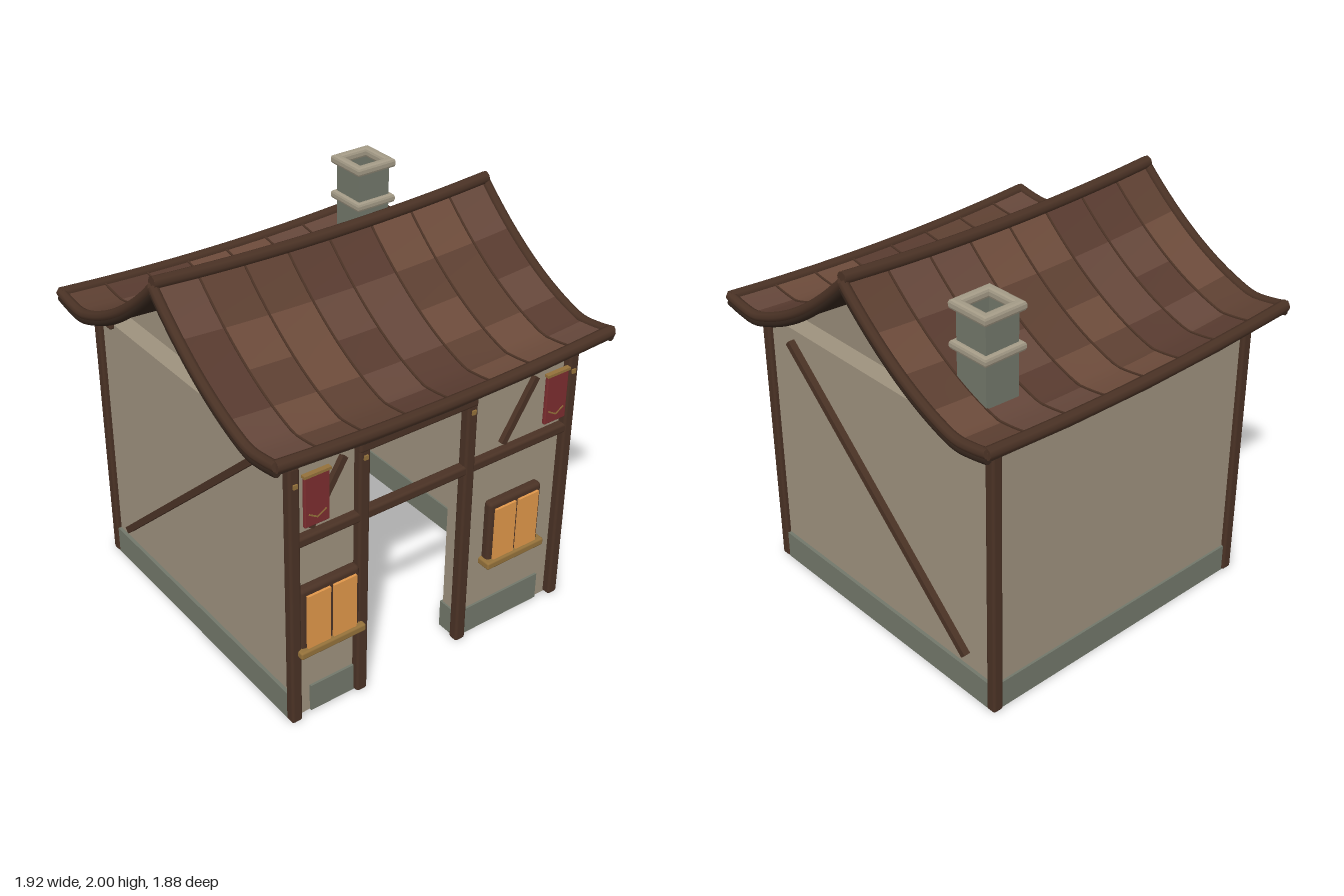
import * as THREE from 'three';
import { RoundedBoxGeometry } from 'three/addons/geometries/RoundedBoxGeometry.js';

const mat = (color, side = THREE.FrontSide) => new THREE.MeshStandardMaterial({ color, side });
const WALL = mat(0x9d917d), STONE = mat(0x72776a), TRIM = mat(0xa39a86);
const WOOD = mat(0x4a3225), DARK = mat(0x33241b), GOLD = mat(0x94713a);
const GLOW = mat(0xe0974a), RED = mat(0x7c2d2f);
const TILES = [0x5c3f31, 0x64463a, 0x6b4a3a, 0x573a2f].map((c) => mat(c));

// Roof height: concave slope with a kicked-up eave, sagging between the gables
const slope = (z) => {
  const a = Math.abs(z);
  return 1.95 - 0.98 * a + 0.5 * a * a + 0.3 * Math.max(0, a - 0.72);
};
const roofY = (x, z) => slope(z) - 0.035 * (1 - (x / 0.94) ** 2);

export function createModel() {
  const house = new THREE.Group();
  house.name = 'house';

  const add = (name, geometry, material, parent = house) => {
    const mesh = new THREE.Mesh(geometry, material);
    mesh.name = name;
    parent.add(mesh);
    return mesh;
  };
  // Box given by its limits on each axis, optionally with rounded edges
  const box = (name, [x0, x1], [y0, y1], [z0, z1], material, radius = 0) => {
    const size = [x1 - x0, y1 - y0, z1 - z0];
    const geo = radius ? new RoundedBoxGeometry(...size, 2, radius) : new THREE.BoxGeometry(...size);
    const mesh = add(name, geo, material);
    mesh.position.set((x0 + x1) / 2, (y0 + y1) / 2, (z0 + z1) / 2);
    return mesh;
  };
  const tube = (name, points, radius, material) => {
    const curve = new THREE.CatmullRomCurve3(points);
    const mesh = add(name, new THREE.TubeGeometry(curve, 32, radius, 8), material);
    for (const t of [0, 1]) {
      const cap = add(name + 'End', new THREE.CircleGeometry(radius, 8), material);
      const dir = curve.getTangent(t).multiplyScalar(t ? 1 : -1);
      cap.position.copy(curve.getPoint(t));
      cap.quaternion.setFromUnitVectors(new THREE.Vector3(0, 0, 1), dir);
    }
    return mesh;
  };
  // Straight timber between two points
  const strut = (name, a, b, width, material) => {
    const from = new THREE.Vector3(...a), to = new THREE.Vector3(...b);
    const dir = to.clone().sub(from);
    const mesh = add(name, new THREE.BoxGeometry(width, dir.length(), width), material);
    mesh.position.copy(from).add(to).multiplyScalar(0.5);
    mesh.quaternion.setFromUnitVectors(new THREE.Vector3(0, 1, 0), dir.normalize());
    return mesh;
  };

  // Walls, with an open doorway in the front
  const H = [0, 1.42], base = [0, 0.15];
  for (const s of [-1, 1]) {
    const span = (a, b) => [Math.min(s * a, s * b), Math.max(s * a, s * b)];
    box('sideWall', span(0.7, 0.8), H, [-0.8, 0.8], WALL);
    box('sidePlinth', span(0.69, 0.818), base, [-0.79, 0.79], STONE);
  }
  box('backWall', [-0.7, 0.7], [0, 1.43], [-0.8, -0.7], WALL);
  box('backPlinth', [-0.8, 0.8], base, [-0.812, -0.69], STONE);
  for (const [x0, x1, p0, p1] of [[-0.7, -0.42, -0.7, -0.385], [0.18, 0.7, 0.17, 0.7]]) {
    box('frontWall', [x0, x1], H, [0.7, 0.8], WALL);
    box('frontPlinth', [p0, p1], base, [0.69, 0.812], STONE);
  }

  // Timber frame
  const front = [0.787, 0.842], back = [-0.825, -0.77];
  for (const x of [-0.796, 0.796]) {
    box('cornerPost', [x - 0.029, x + 0.029], [0, 1.425], front, WOOD, 0.014);
    box('cornerPost', [x - 0.029, x + 0.029], [0, 1.425], back, WOOD, 0.014);
    box('cornerStub', [x - 0.027, x + 0.027], [1.395, 1.433], [-0.82, -0.66], WOOD, 0.012);
    const o = Math.sign(x) * 0.825;
    strut('sideBrace', [o, 1.365, 0.61], [o, 0.23, -0.63], 0.034, WOOD);
  }
  for (const x of [-0.425, 0.18])
    box('doorPost', [x - 0.03, x + 0.03], [0, 1.41], front, WOOD, 0.014);
  box('lintel', [-0.455, 0.21], [1.355, 1.42], [0.785, 0.845], WOOD, 0.014);
  box('middleBeam', [-0.82, 0.82], [0.99, 1.042], [0.785, 0.84], WOOD, 0.014);
  strut('frontBrace', [-0.7, 1.065, 0.81], [-0.52, 1.36, 0.81], 0.032, WOOD);
  strut('frontBrace', [0.395, 1.065, 0.81], [0.58, 1.36, 0.81], 0.032, WOOD);
  for (const x of [-0.796, -0.425, 0.18, 0.79])
    box('peg', [x - 0.011, x + 0.011], [1.32, 1.342], [0.835, 0.85], GOLD);

  // Windows
  for (const x of [-0.61, 0.485]) {
    box('windowFrame', [x - 0.163, x + 0.163], [0.4, 0.758], [0.79, 0.845], WOOD, 0.02);
    for (const s of [-1, 1])
      box('windowPane', [x + s * 0.072 - 0.063, x + s * 0.072 + 0.063], [0.43, 0.725], [0.82, 0.858], GLOW);
    box('windowSill', [x - 0.18, x + 0.18], [0.39, 0.43], [0.79, 0.872], GOLD, 0.01);
  }

  // Banners with a rod and a chevron
  for (const x of [-0.688, 0.684]) {
    box('banner', [x - 0.066, x + 0.066], [1.1, 1.362], [0.835, 0.855], RED, 0.006);
    box('bannerRod', [x - 0.07, x + 0.07], [1.358, 1.372], [0.835, 0.86], GOLD);
    for (const s of [-1, 1])
      strut('bannerChevron', [x + s * 0.046, 1.168, 0.854], [x, 1.14, 0.854], 0.007, GOLD);
  }

  // Roof pieces are flat slabs bent to the roof surface
  const bent = (name, [x0, x1], [z0, z1], thick, lift, material, nz = 8) => {
    const geo = new THREE.BoxGeometry(x1 - x0, thick, z1 - z0, 4, 1, nz);
    geo.translate((x0 + x1) / 2, lift, (z0 + z1) / 2);
    const p = geo.attributes.position;
    for (let i = 0; i < p.count; i++) p.setY(i, p.getY(i) + roofY(p.getX(i), p.getZ(i)));
    geo.computeVertexNormals();
    return add(name, geo, material);
  };
  const seams = [-0.94, -0.71, -0.475, -0.24, -0.01, 0.23, 0.465, 0.7, 0.94];
  for (const s of [-1, 1]) {
    const zs = (a, b) => (s > 0 ? [a, b] : [-b, -a]);
    bent('roofUnderside', [-0.94, 0.94], zs(0, 0.92), 0.025, -0.03, DARK, 24);
    for (let c = 0; c < 8; c++) {
      const shift = c % 2 ? 0 : 0.18;
      const rows = [0, 0.2, 0.38, 0.56, 0.74, 0.92].filter((z, i) => !(shift && (i === 2 || i === 4)));
      for (let r = 0; r + 1 < rows.length; r++)
        bent('roofTile', [seams[c], seams[c + 1]], zs(rows[r], rows[r + 1]), 0.024, -0.006,
          TILES[(c * 3 + r * 2 + (s > 0 ? 1 : 0) + (c >> 1)) % 4]);
      if (c) bent('roofSeam', [seams[c] - 0.005, seams[c] + 0.005], zs(0, 0.92), 0.02, 0.002, WOOD, 24);
    }
    // Gable edge timbers and eave beam
    for (const x of [-0.935, 0.935]) {
      const path = (lift) => Array.from({ length: 17 }, (_, i) => {
        const z = (s * 0.92 * i) / 16;
        return new THREE.Vector3(x, roofY(x, z) + lift, z);
      });
      tube('gableTimber', path(0), 0.025, WOOD);
      tube('gableTimberLower', path(-0.032), 0.02, DARK);
    }
    tube('eaveBeam', seams.map((x) => new THREE.Vector3(x, roofY(x, 0.91) - 0.002, s * 0.912)), 0.03, WOOD);
  }
  tube('ridgeBeam', seams.map((x) => new THREE.Vector3(x, roofY(x, 0) + 0.02, 0)), 0.03, WOOD);

  // Hollow chimney with two stone collars
  const chimney = new THREE.Group();
  chimney.name = 'chimney';
  chimney.position.set(0.61, 0, -0.555);
  house.add(chimney);
  const ring = (name, outer, inner, y0, y1, bevel, material) => {
    const square = (Type, h) => new Type([[-h, -h], [h, -h], [h, h], [-h, h]].map((p) => new THREE.Vector2(...p)));
    const shape = square(THREE.Shape, outer - bevel);
    shape.holes.push(square(THREE.Path, inner + bevel));
    const geo = new THREE.ExtrudeGeometry(shape, {
      depth: y1 - y0 - 2 * bevel, bevelEnabled: bevel > 0, bevelSize: bevel, bevelThickness: bevel, bevelSegments: 2,
    });
    geo.rotateX(-Math.PI / 2).translate(0, y0 + bevel, 0);
    add(name, geo, material, chimney);
  };
  ring('chimneyShaft', 0.093, 0.074, 1.42, 1.95, 0, STONE);
  ring('chimneyCap', 0.116, 0.07, 1.92, 1.967, 0.014, TRIM);
  ring('chimneyCollar', 0.116, 0.076, 1.73, 1.775, 0.014, TRIM);

  return house;
}
